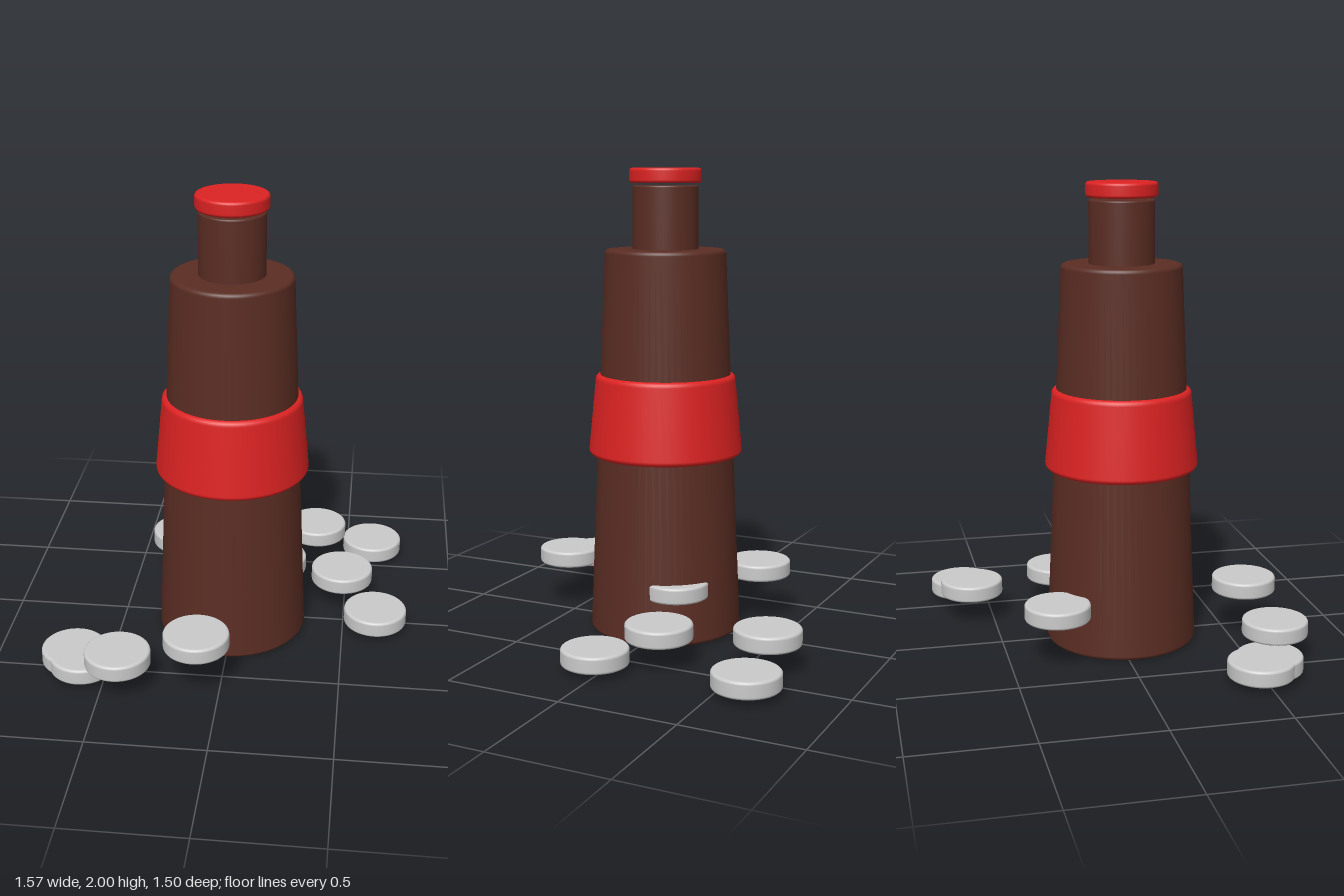
import * as THREE from 'three';

// Solid tapered disc with rounded rims, from y0 to y1
function roundedDrum(y0, y1, rBottom, rTop, bevel) {
  const points = [new THREE.Vector2(0, y0), new THREE.Vector2(rBottom - bevel * 1.2, y0)];
  const steps = 5;
  for (let i = 0; i <= steps; i++) {
    const a = -Math.PI / 2 + (i / steps) * Math.PI / 2;
    points.push(new THREE.Vector2(rBottom - bevel + Math.cos(a) * bevel, y0 + bevel + Math.sin(a) * bevel));
  }
  for (let i = 0; i <= steps; i++) {
    const a = (i / steps) * Math.PI / 2;
    points.push(new THREE.Vector2(rTop - bevel + Math.cos(a) * bevel, y1 - bevel + Math.sin(a) * bevel));
  }
  points.push(new THREE.Vector2(rTop - bevel * 1.2, y1), new THREE.Vector2(0, y1));
  return new THREE.LatheGeometry(points, 64);
}

export function createModel() {
  const model = new THREE.Group();
  model.name = 'bottleWithTablets';

  const brown = new THREE.MeshStandardMaterial({ color: 0x5a2d23 });
  brown.name = 'brown';
  const red = new THREE.MeshStandardMaterial({ color: 0xdc2222 });
  red.name = 'red';
  const silver = new THREE.MeshStandardMaterial({ color: 0xcacaca });
  silver.name = 'silver';

  const add = (parent, name, geometry, material) => {
    const mesh = new THREE.Mesh(geometry, material);
    mesh.name = name;
    parent.add(mesh);
    return mesh;
  };

  // Bottle: tapered body, label band, neck and cap
  const bottle = new THREE.Group();
  bottle.name = 'bottle';
  bottle.position.set(-0.005, 0, 0.035);
  model.add(bottle);
  add(bottle, 'body', roundedDrum(0, 1.66, 0.328, 0.259, 0.018), brown);
  add(bottle, 'labelBand', roundedDrum(0.775, 1.125, 0.332, 0.302, 0.022), red);
  add(bottle, 'neck', roundedDrum(1.6, 1.927, 0.14, 0.14, 0.008), brown);
  add(bottle, 'cap', roundedDrum(1.936, 2, 0.153, 0.153, 0.013), red);

  // Tablets hovering around the base at three heights: [x, y, z]
  const low = 0.063, mid = 0.147, high = 0.232;
  const tablets = new THREE.Group();
  tablets.name = 'tablets';
  model.add(tablets);
  const tablet = roundedDrum(-0.036, 0.036, 0.14, 0.14, 0.012);
  [
    [-0.645, low, 0.48], [-0.6, low, 0.53], [0.62, low, -0.615], [0.645, low, 0.035],
    [-0.43, mid, 0.61], [0.485, mid, -0.173], [0.347, mid, -0.593],
    [-0.1, high, 0.573], [-0.277, high, -0.3], [0.18, high, -0.105],
  ].forEach((p, i) => add(tablets, `tablet${i + 1}`, tablet, silver).position.set(...p));

  return model;
}
